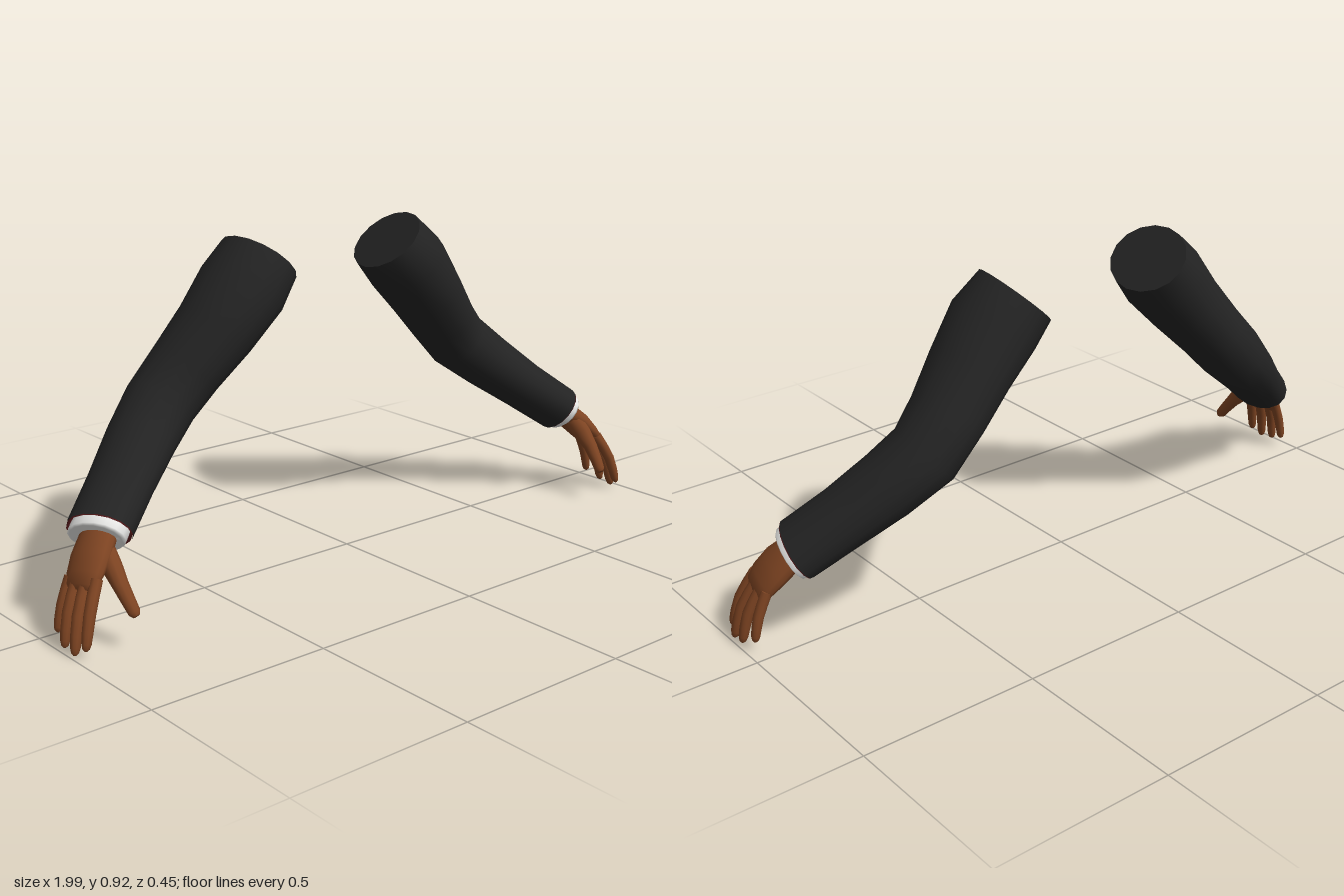
import * as THREE from 'three';

const sleeveCloth = new THREE.MeshStandardMaterial({ color: 0x232323 });
const skin = new THREE.MeshStandardMaterial({ color: 0x7e4422 });
const shirtWhite = new THREE.MeshStandardMaterial({ color: 0xe6e6e4, side: THREE.DoubleSide });
const liningRed = new THREE.MeshStandardMaterial({ color: 0x4a1516, side: THREE.DoubleSide });

// Lofts elliptical rings along stations [x, y, z, a, b]; side = -1 mirrors across x.
// a is the half-thickness in the front plane, b the half-width along z.
function loft(stations, sides, side, capStart, capEnd) {
  const pos = [], idx = [];
  const centres = stations.map(s => new THREE.Vector3(s[0], s[1], s[2]));
  const tri = (a, b, c) => (side > 0 ? idx.push(a, b, c) : idx.push(a, c, b));
  const put = v => { pos.push(v.x * side, v.y, v.z); return pos.length / 3 - 1; };
  const last = stations.length - 1;
  const rings = stations.map((s, i) => {
    const T = centres[Math.min(i + 1, last)].clone().sub(centres[Math.max(i - 1, 0)]).normalize();
    const B = new THREE.Vector3(0, 0, 1).addScaledVector(T, -T.z).normalize();
    const N = B.clone().cross(T);
    return Array.from({ length: sides }, (_, j) => {
      const t = (j / sides) * Math.PI * 2;
      return centres[i].clone().addScaledVector(N, s[3] * Math.cos(t)).addScaledVector(B, s[4] * Math.sin(t));
    });
  });
  rings.forEach(r => r.forEach(put));
  for (let i = 0; i < last; i++) {
    for (let j = 0; j < sides; j++) {
      const k = (j + 1) % sides, p = i * sides, q = p + sides;
      tri(p + j, p + k, q + j);
      tri(p + k, q + k, q + j);
    }
  }
  // caps use their own vertices so their edge stays sharp
  const cap = (i, flip) => {
    const c = put(centres[i]);
    const first = rings[i].map(put)[0];
    for (let j = 0; j < sides; j++) {
      const k = (j + 1) % sides;
      if (flip) tri(c, first + k, first + j);
      else tri(c, first + j, first + k);
    }
  };
  if (capStart) cap(0, true);
  if (capEnd) cap(last, false);
  const g = new THREE.BufferGeometry();
  g.setAttribute('position', new THREE.Float32BufferAttribute(pos, 3));
  g.setIndex(idx);
  g.computeVertexNormals();
  return g;
}

// Finger along base, joint and tip points, with a rounded end
function finger(base, joint, tip, r) {
  const curve = new THREE.CatmullRomCurve3([base, joint, tip].map(p => new THREE.Vector3(...p)));
  return [[0, 1.1], [0.25, 1.08], [0.5, 1.05], [0.75, 0.97], [0.9, 0.86], [0.97, 0.62], [1, 0.25]].map(([t, k]) => {
    const p = curve.getPoint(t);
    return [p.x, p.y, p.z, r * k, r * k];
  });
}

const SLEEVE = [
  [0.23, 0.85, -0.095, 0.105, 0.123],
  [0.295, 0.78, -0.086, 0.114, 0.136],
  [0.38, 0.68, -0.094, 0.103, 0.125],
  [0.465, 0.585, -0.112, 0.094, 0.114],
  [0.545, 0.50, -0.118, 0.092, 0.106],
  [0.635, 0.425, -0.078, 0.084, 0.102],
  [0.735, 0.343, -0.022, 0.074, 0.098],
  [0.84, 0.26, 0.04, 0.07, 0.098],
];
const LINING = [
  [0.79, 0.3, 0.01, 0.066, 0.092],
  [0.842, 0.2585, 0.041, 0.068, 0.096],
];
const CUFF = [
  [0.79, 0.3, 0.01, 0.058, 0.082],
  [0.84, 0.26, 0.04, 0.06, 0.087],
  [0.853, 0.2495, 0.0475, 0.06, 0.087],
  [0.8565, 0.2467, 0.0495, 0.054, 0.08],
  [0.8545, 0.2483, 0.0483, 0.03, 0.045],
];
const PALM = [
  [0.8, 0.295, 0.018, 0.036, 0.052],
  [0.845, 0.255, 0.048, 0.037, 0.056],
  [0.885, 0.215, 0.072, 0.034, 0.065],
  [0.915, 0.178, 0.09, 0.027, 0.063],
  [0.932, 0.156, 0.098, 0.019, 0.057],
  [0.938, 0.147, 0.101, 0.008, 0.045],
];
const FINGERS = {
  indexFinger: finger([0.912, 0.18, 0.138], [0.95, 0.105, 0.163], [0.973, 0.022, 0.176], 0.0145),
  middleFinger: finger([0.922, 0.17, 0.108], [0.963, 0.095, 0.131], [0.986, 0.004, 0.145], 0.015),
  ringFinger: finger([0.93, 0.165, 0.076], [0.967, 0.095, 0.091], [0.987, 0.01, 0.1], 0.0145),
  littleFinger: finger([0.932, 0.165, 0.047], [0.96, 0.1, 0.05], [0.976, 0.031, 0.05], 0.0135),
};
const THUMB = [
  [0.858, 0.235, 0.085, 0.026, 0.03],
  [0.86, 0.195, 0.128, 0.025, 0.028],
  [0.86, 0.16, 0.162, 0.021, 0.021],
  [0.856, 0.125, 0.19, 0.018, 0.018],
  [0.852, 0.1, 0.208, 0.016, 0.016],
  [0.85, 0.092, 0.215, 0.009, 0.009],
];

function createArm(side, name) {
  const arm = new THREE.Group();
  arm.name = name;
  const add = (part, parent, stations, sides, material, capStart, capEnd) => {
    const mesh = new THREE.Mesh(loft(stations, sides, side, capStart, capEnd), material);
    mesh.name = part;
    parent.add(mesh);
  };
  // jacket sleeve, lining and shirt cuff
  add('sleeve', arm, SLEEVE, 16, sleeveCloth, true, false);
  add('sleeveLining', arm, LINING, 16, liningRed, false, false);
  add('shirtCuff', arm, CUFF, 16, shirtWhite, false, false);
  // hand
  const hand = new THREE.Group();
  hand.name = 'hand';
  arm.add(hand);
  add('palm', hand, PALM, 16, skin, true, true);
  add('thumb', hand, THUMB, 10, skin, true, true);
  for (const [part, stations] of Object.entries(FINGERS)) add(part, hand, stations, 10, skin, true, true);
  return arm;
}

export function createModel() {
  const model = new THREE.Group();
  model.name = 'suitArms';
  model.add(createArm(1, 'leftArm'), createArm(-1, 'rightArm'));
  return model;
}
